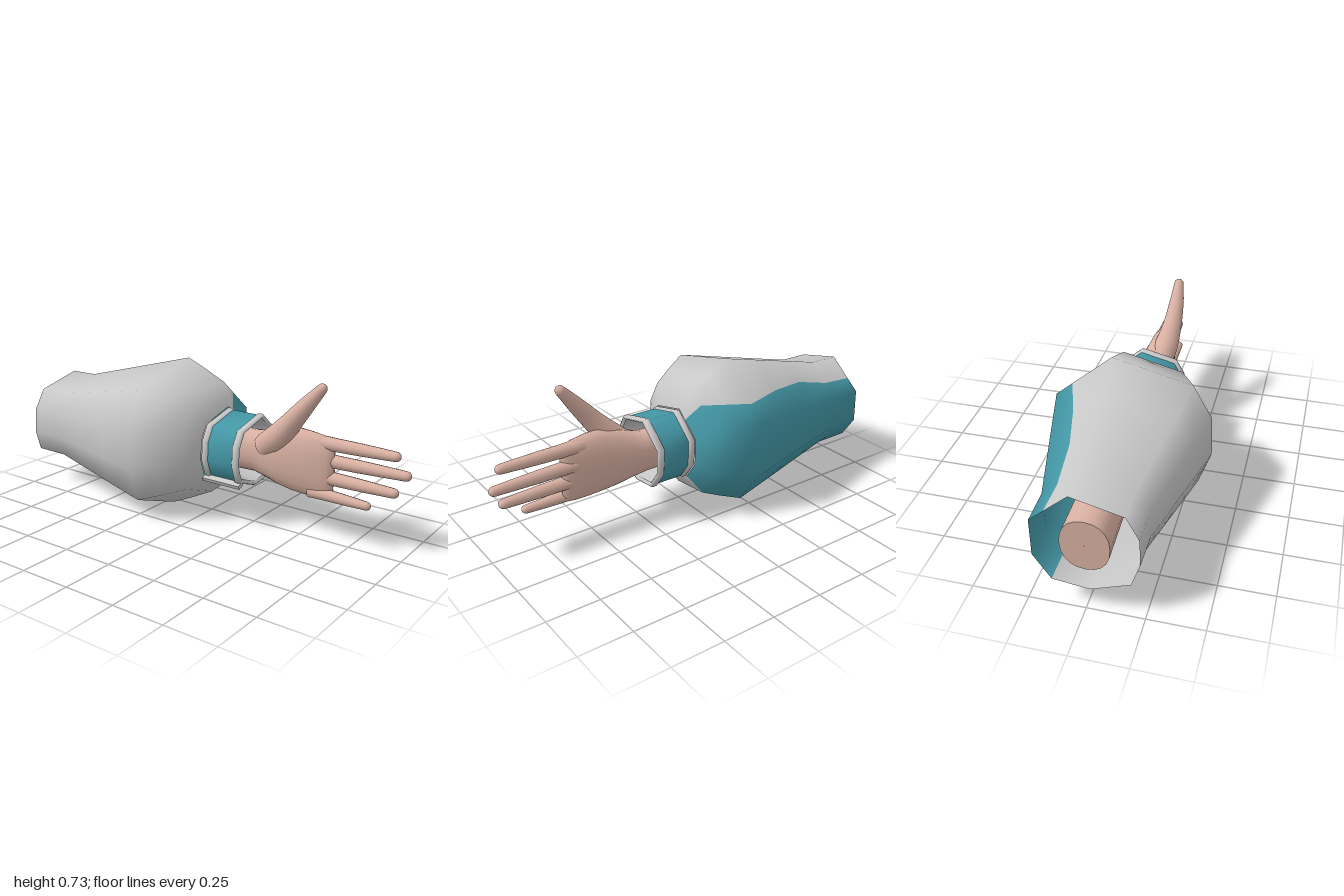
import * as THREE from 'three';

const mat = (name, color, side = THREE.FrontSide) => {
  const m = new THREE.MeshStandardMaterial({ color, side });
  m.name = name;
  return m;
};

// Skin a list of closed rings; columns from..to take the second material.
function loft(rings, from = -1, to = -1) {
  const n = rings[0].length, geo = new THREE.BufferGeometry();
  const index = [];
  const addColumn = (j) => {
    for (let i = 0; i < rings.length - 1; i++) {
      const a = i * n + j, b = i * n + (j + 1) % n, c = b + n, d = a + n;
      index.push(a, d, c, a, c, b);
    }
  };
  const second = (j) => j >= from && j < to;
  for (let j = 0; j < n; j++) if (!second(j)) addColumn(j);
  const split = index.length;
  for (let j = 0; j < n; j++) if (second(j)) addColumn(j);
  geo.setAttribute('position', new THREE.Float32BufferAttribute(rings.flat(2), 3));
  geo.setIndex(index);
  if (from >= 0) {
    geo.addGroup(0, split, 0);
    geo.addGroup(split, index.length - split, 1);
  }
  geo.computeVertexNormals();
  return geo;
}

// Uneven nine-sided outline of the cloth as [z, y] around its centre
const OUTLINE = [[0.27, 0.27], [-0.1, 0.36], [-0.37, 0.125], [-0.36, -0.15], [-0.23, -0.33],
  [0.035, -0.36], [0.31, -0.26], [0.367, -0.09], [0.36, 0.11]];

// One cloth ring; t places the extra corner where the panel colour starts
function clothRing([x, s, cy, cz, t = 0.5], slant = 0) {
  const [p, q] = [OUTLINE[1], OUTLINE[2]];
  const pts = [...OUTLINE];
  pts.splice(2, 0, [p[0] + (q[0] - p[0]) * t, p[1] + (q[1] - p[1]) * t]);
  return pts.map(([z, y]) => [x + slant * y * s, cy + y * s, cz + z * s]);
}

// Slightly squared oval ring across x
function ovalRing([x, cy, hy, cz, hz]) {
  const soft = (v) => Math.sign(v) * Math.pow(Math.abs(v), 0.9);
  return Array.from({ length: 20 }, (_, j) => {
    const a = j / 20 * Math.PI * 2;
    return [x, cy + hy * soft(Math.sin(a)), cz + hz * soft(Math.cos(a))];
  });
}

// Round limb through [x, y, z, radius] stations with a rounded tip
function limb(stations, sides = 12) {
  const curve = new THREE.CatmullRomCurve3(stations.map((s) => new THREE.Vector3(s[0], s[1], s[2])));
  const rings = [], steps = 14, last = stations.length - 1, Z = new THREE.Vector3(0, 0, 1);
  const ring = (c, T, r) => {
    const N = new THREE.Vector3().crossVectors(Z, T).normalize();
    const B = new THREE.Vector3().crossVectors(T, N);
    rings.push(Array.from({ length: sides }, (_, j) => {
      const a = j / sides * Math.PI * 2;
      return c.clone().addScaledVector(B, r * Math.cos(a)).addScaledVector(N, r * Math.sin(a)).toArray();
    }));
  };
  for (let i = 0; i <= steps; i++) {
    const u = i / steps, k = Math.min(Math.floor(u * last), last - 1), f = u * last - k;
    ring(curve.getPoint(u), curve.getTangent(u), THREE.MathUtils.lerp(stations[k][3], stations[k + 1][3], f));
  }
  const end = curve.getPoint(1), T = curve.getTangent(1), r = stations[last][3];
  for (const a of [0.5, 1, 1.35, 1.5705]) {
    ring(end.clone().addScaledVector(T, r * Math.sin(a)), T, r * Math.cos(a));
  }
  return loft(rings);
}

export function createModel() {
  const group = new THREE.Group();
  const cloth = mat('grey cloth', 0xc8c8c8, THREE.DoubleSide);
  const teal = mat('teal cloth', 0x4497a6, THREE.DoubleSide);
  const skin = mat('skin', 0xd8b0a2);
  const add = (name, geo, material) => {
    const mesh = new THREE.Mesh(geo, material);
    mesh.name = name;
    group.add(mesh);
    return mesh;
  };

  // Puffed sleeve with a teal panel at the back
  const sleeve = [
    [-0.985, 0.615, 0.335, 0, 0.62], [-0.82, 0.62, 0.335, 0, 0.58], [-0.62, 0.745, 0.343, 0, 0.47],
    [-0.42, 0.87, 0.351, 0, 0.56], [-0.21, 1, 0.36, 0, 0.7], [-0.1, 0.87, 0.36, -0.014, 0.56],
    [0, 0.74, 0.36, -0.028, 0.38], [0.045, 0.47, 0.347, -0.025, 0.35],
  ].map((s, i) => clothRing(s, i === 0 ? 0.07 : 0));
  add('sleeve', loft(sleeve, 2, 5), [cloth, teal]);

  // Cuff band, its two rims and the lining that narrows to the wrist
  const cuff = (rows) => loft(rows.map(([x, s]) => clothRing([x, s, 0.347, -0.025])));
  add('cuffBand', cuff([[0.06, 0.445], [0.235, 0.445]]), teal);
  add('cuffInnerRim', cuff([[0.04, 0.43], [0.045, 0.458], [0.055, 0.466], [0.07, 0.464], [0.078, 0.44]]), cloth);
  add('cuffOuterRim', cuff([[0.21, 0.44], [0.217, 0.464], [0.235, 0.468], [0.246, 0.46], [0.25, 0.435],
    [0.24, 0.41]]), cloth);
  add('cuffLining', cuff([[0.24, 0.41], [0.15, 0.36], [0.02, 0.23]]), cloth);

  // Overlapping edge of the cuff opening
  const flap = add('cuffFlap', new THREE.BoxGeometry(0.205, 0.02, 0.035), cloth);
  flap.position.set(0.145, 0.215, 0.115);
  flap.rotation.x = 0.45;

  // Forearm, wrist and palm
  const arm = [
    [-0.985, 0.33, 0.001, 0, 0.001], [-0.985, 0.33, 0.125, 0, 0.105], [-0.985, 0.33, 0.125, 0, 0.105],
    [-0.5, 0.335, 0.12, -0.01, 0.1], [0, 0.343, 0.1, -0.03, 0.08], [0.24, 0.345, 0.1, -0.04, 0.076],
    [0.3, 0.347, 0.115, -0.034, 0.075], [0.37, 0.35, 0.137, -0.026, 0.073], [0.45, 0.352, 0.152, -0.02, 0.066],
    [0.53, 0.346, 0.153, -0.019, 0.054], [0.59, 0.341, 0.15, -0.02, 0.042], [0.625, 0.338, 0.143, -0.022, 0.032],
    [0.645, 0.338, 0.125, -0.023, 0.018], [0.65, 0.338, 0.1, -0.023, 0.001],
  ];
  add('armAndPalm', loft(arm.map(ovalRing)), skin);

  // Fingers: base y, tip y, tip x, base z, tip z
  const fingers = {
    indexFinger: [0.453, 0.455, 0.955, -0.024, -0.028],
    middleFinger: [0.372, 0.372, 1, -0.03, -0.046],
    ringFinger: [0.295, 0.29, 0.955, -0.024, -0.03],
    littleFinger: [0.22, 0.214, 0.845, -0.01, -0.004],
  };
  for (const [name, [y0, y1, tip, z0, z1]] of Object.entries(fingers)) {
    const r = name === 'littleFinger' ? 0.027 : 0.031;
    const x = (f) => 0.54 + (tip - 0.022 - 0.54) * f;
    const at = (f, k) => [x(f), y0 + (y1 - y0) * f, z0 + (z1 - z0) * f, r * k];
    add(name, limb([at(0, 1.15), at(0.25, 1), at(0.5, 0.95), at(0.75, 0.85), at(1, 0.72)]), skin);
  }

  // Thumb
  add('thumb', limb([[0.3, 0.385, -0.01, 0.06], [0.38, 0.45, 0.012, 0.063], [0.455, 0.535, 0.028, 0.049],
    [0.53, 0.625, 0.033, 0.038], [0.602, 0.71, 0.03, 0.024]], 14), skin);

  return group;
}
